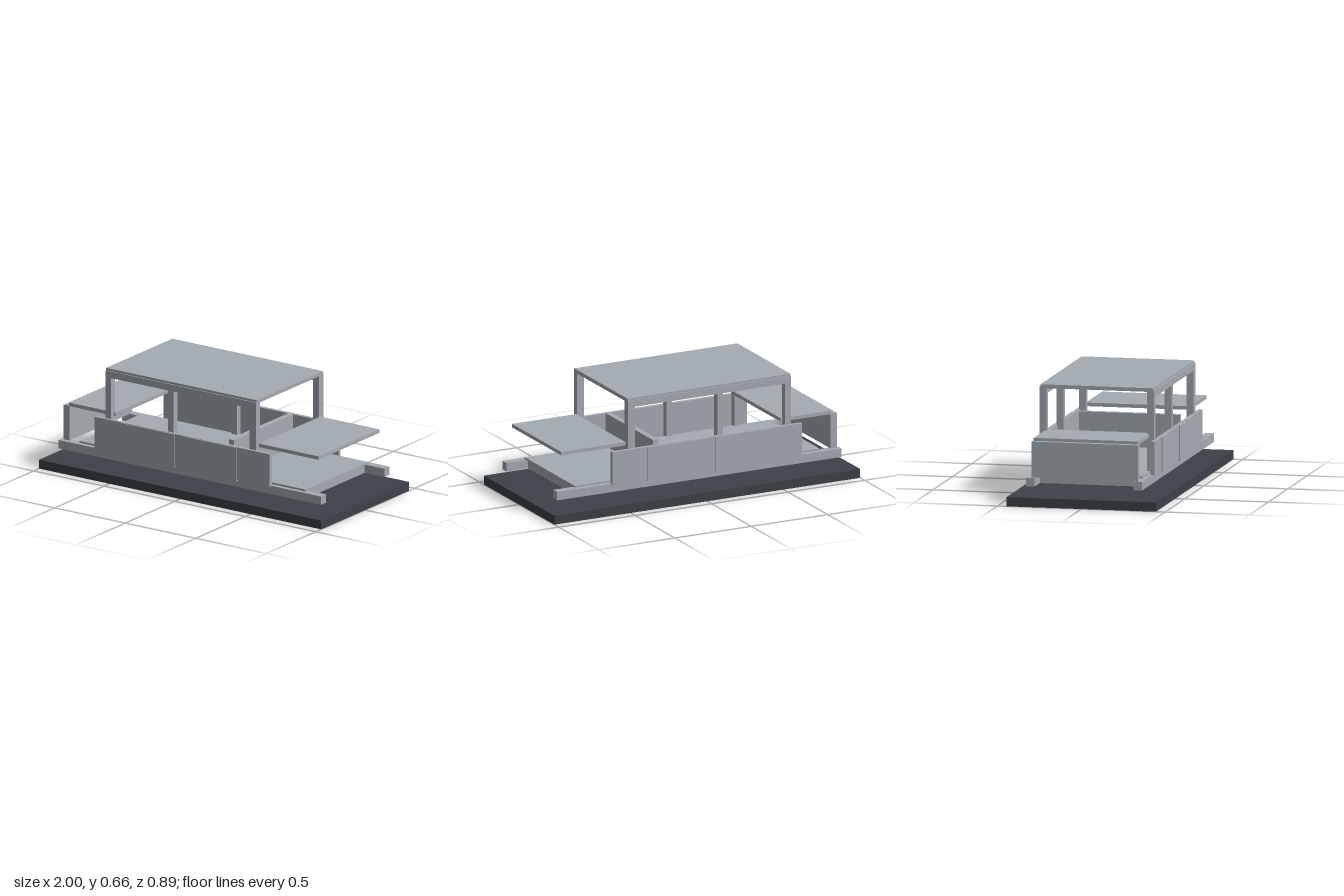
import * as THREE from 'three';

export function createModel() {
  const model = new THREE.Group();
  const bodyGrey = new THREE.MeshStandardMaterial({ color: 0xa4abb2 });
  bodyGrey.name = 'bodyGrey';
  const baseDark = new THREE.MeshStandardMaterial({ color: 0x3b4248 });
  baseDark.name = 'baseDark';

  // Box given by its lower and upper corner
  function slab(name, x0, x1, y0, y1, z0, z1, material = bodyGrey) {
    const mesh = new THREE.Mesh(new THREE.BoxGeometry(x1 - x0, y1 - y0, z1 - z0), material);
    mesh.position.set((x0 + x1) / 2, (y0 + y1) / 2, (z0 + z1) / 2);
    mesh.name = name;
    model.add(mesh);
  }

  // Same box on both long sides
  function pair(name, x0, x1, y0, y1, z0, z1) {
    slab(name + 'Front', x0, x1, y0, y1, z0, z1);
    slab(name + 'Back', x0, x1, y0, y1, -z1, -z0);
  }

  // Display base
  slab('base', -1, 1, 0, 0.054, -0.445, 0.445, baseDark);

  // Chassis: rails, underfloor and floor plate
  pair('chassisRail', -0.93, 0.93, 0.11, 0.161, 0.295, 0.346);
  slab('underfloor', -0.79, 0.79, 0.11, 0.16, -0.295, 0.295);
  slab('floor', -0.8, 0.8, 0.16, 0.172, -0.318, 0.318);

  // Body sides with slightly proud doors
  pair('sidePanel', -0.665, 0.575, 0.157, 0.356, 0.336, 0.359);
  for (const x of [-0.48, -0.035]) pair('door', x, x + 0.38, 0.15, 0.354, 0.342, 0.365);

  // Roof frame: pillars, side rails and roof plate
  for (const [x0, x1] of [[-0.6, -0.563], [-0.156, -0.119], [0.42, 0.465]]) {
    pair('pillar', x0, x1, 0.161, 0.606, 0.3, 0.342);
  }
  pair('roofRail', -0.6, 0.465, 0.606, 0.646, 0.3, 0.342);
  slab('roof', -0.601, 0.466, 0.638, 0.66, -0.336, 0.336);

  // Bulkhead, tail panel and the two lids
  slab('bulkhead', 0.245, 0.28, 0.172, 0.372, -0.3, 0.3);
  slab('tailPanel', -0.915, -0.873, 0.161, 0.372, -0.317, 0.317);
  slab('rearLid', -0.88, -0.55, 0.368, 0.389, -0.311, 0.311);
  slab('bonnet', 0.465, 0.886, 0.368, 0.389, -0.311, 0.311);

  return model;
}
